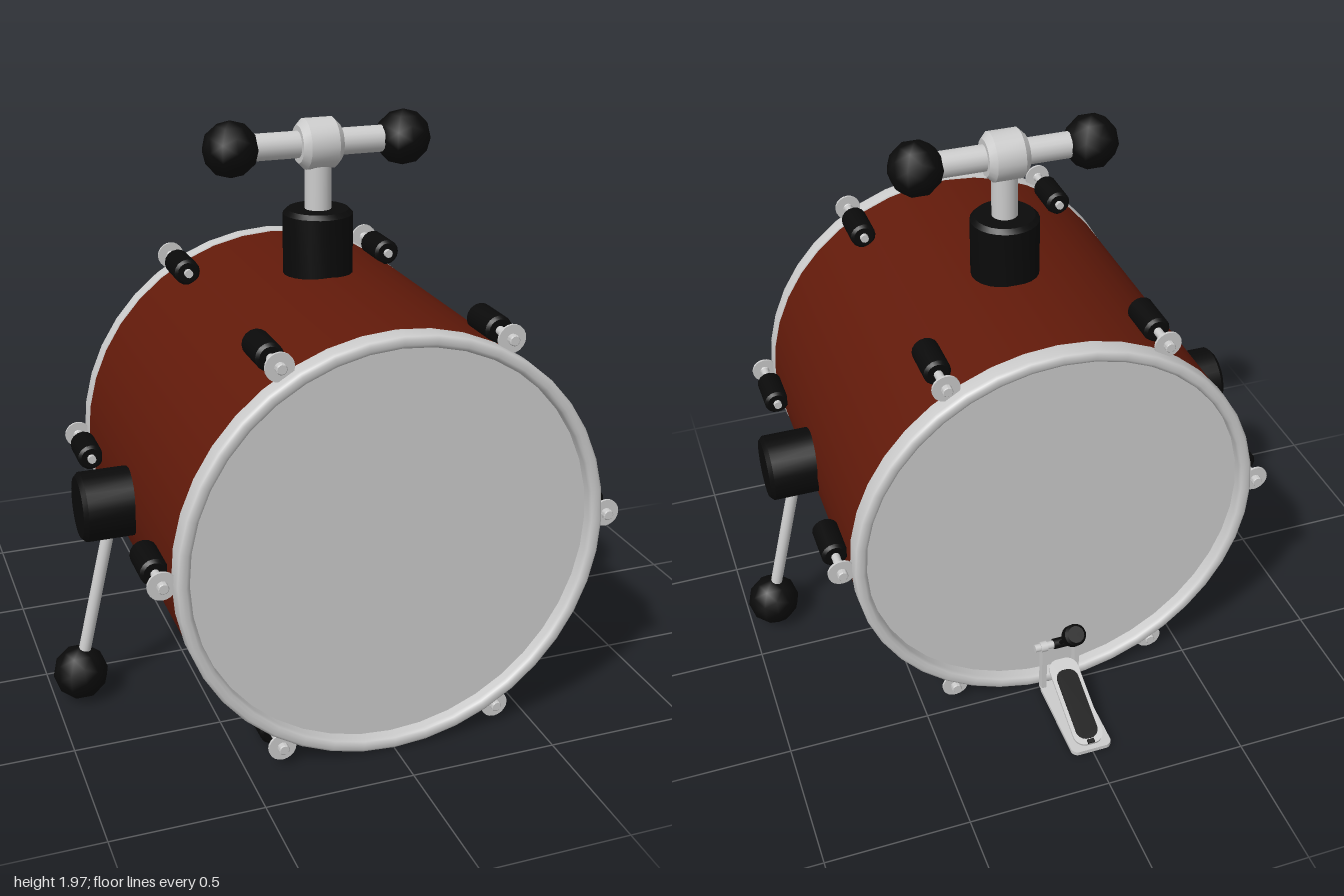
import * as THREE from 'three';
import { toCreasedNormals } from 'three/addons/utils/BufferGeometryUtils.js';

const grey = new THREE.MeshStandardMaterial({ color: 0xcccccc });
const black = new THREE.MeshStandardMaterial({ color: 0x0a0a0a });
const red = new THREE.MeshStandardMaterial({ color: 0x621a0a });
const V = (x, y, z) => new THREE.Vector3(x, y, z);
const UP = V(0, 1, 0);
const CY = 0.727; // height of the drum axis

function add(parent, name, geometry, material, x = 0, y = 0, z = 0) {
  const mesh = new THREE.Mesh(geometry, material);
  mesh.name = name;
  mesh.position.set(x, y, z);
  parent.add(mesh);
  return mesh;
}

const lathe = (points, segments) =>
  new THREE.LatheGeometry(points.map(p => new THREE.Vector2(...p)), segments);

// Cylinder with bevelled rims running between two points
function rod(parent, name, a, b, r, material, bevel = 0, segments = 20) {
  const h = a.distanceTo(b) / 2;
  const g = bevel
    ? toCreasedNormals(lathe([[0, -h], [r - bevel, -h], [r, bevel - h], [r, h - bevel],
      [r - bevel, h], [0, h]], segments), 0.6)
    : new THREE.CylinderGeometry(r, r, h * 2, segments);
  const mesh = add(parent, name, g, material);
  mesh.position.copy(a).add(b).multiplyScalar(0.5);
  mesh.quaternion.setFromUnitVectors(UP, b.clone().sub(a).normalize());
  return mesh;
}

// Faceted rubber ball
function ball(parent, name, x, y) {
  add(parent, name, new THREE.IcosahedronGeometry(0.095, 1), black, x, y, 0);
}

// Rounded rectangle slab lying in x/z, centred on the origin
function slab(w, d, t, r) {
  const x = w / 2, y = d / 2;
  const s = new THREE.Shape();
  s.moveTo(-x + r, -y).lineTo(x - r, -y);
  s.absarc(x - r, -y + r, r, -Math.PI / 2, 0);
  s.absarc(x - r, y - r, r, 0, Math.PI / 2);
  s.absarc(-x + r, y - r, r, Math.PI / 2, Math.PI);
  s.absarc(-x + r, -y + r, r, Math.PI, Math.PI * 1.5);
  const g = new THREE.ExtrudeGeometry(s, { depth: t, bevelEnabled: false, curveSegments: 6 });
  return g.translate(0, 0, -t / 2).rotateX(-Math.PI / 2);
}

function makeDrum() {
  const drum = new THREE.Group();
  drum.name = 'drum';
  const shell = new THREE.CylinderGeometry(0.717, 0.717, 1.24, 40, 1, true).rotateX(Math.PI / 2);
  add(drum, 'shell', shell, red, 0, CY, 0.177);

  // Rounded hoop profile, from its inner shell edge over the lip to the head
  const hoop = lathe([[0.70, 0], [0.717, 0.001], [0.722, 0.007], [0.722, 0.056], [0.718, 0.067],
    [0.709, 0.073], [0.692, 0.073], [0.682, 0.067], [0.677, 0.056], [0.677, 0]], 40);
  for (const [side, z] of [[1, 0.774], [-1, -0.421]]) {
    const end = side > 0 ? 'front' : 'back';
    add(drum, end + 'Hoop', hoop, grey, 0, CY, z).rotation.x = side * Math.PI / 2;
    const head = add(drum, end + 'Head', new THREE.CylinderGeometry(0.69, 0.69, 0.02, 40),
      grey, 0, CY, z + side * 0.017);
    head.rotation.x = Math.PI / 2;

    // Six lugs with tension rods and washers on each hoop
    for (let i = 0; i < 6; i++) {
      const a = i * Math.PI / 3;
      const lug = new THREE.Group();
      lug.name = end + 'Lug';
      lug.position.set(0.756 * Math.cos(a), CY + 0.756 * Math.sin(a), z);
      const at = d => V(0, 0, side * d);
      rod(lug, 'lugBody', at(-0.212), at(-0.056), 0.046, black, 0.01, 16);
      rod(lug, 'tensionRod', at(-0.228), at(0.05), 0.015, grey, 0, 12);
      rod(lug, 'washer', at(0.022), at(0.031), 0.047, grey, 0, 20);
      rod(lug, 'rodHead', at(0.018), at(0.052), 0.018, grey, 0.003, 12);
      drum.add(lug);
    }
  }
  return drum;
}

function makeTopMount() {
  const mount = new THREE.Group();
  mount.name = 'topMount';
  mount.position.z = 0.085;
  const y = 1.875;
  rod(mount, 'mountBase', V(0, 1.4, 0), V(0, 1.655, 0), 0.119, black, 0.015, 24);
  rod(mount, 'mountPost', V(0, 1.64, 0), V(0, y, 0), 0.045, grey);
  rod(mount, 'mountHub', V(-0.071, y, 0), V(0.071, y, 0), 0.085, grey, 0.022, 20);
  rod(mount, 'mountArm', V(-0.3, y, 0), V(0.3, y, 0), 0.045, grey);
  for (const s of [-1, 1]) ball(mount, 'armBall', s * 0.303, y);
  return mount;
}

function makeLeg(s) {
  const leg = new THREE.Group();
  leg.name = s > 0 ? 'leftLeg' : 'rightLeg';
  leg.position.z = 0.18;
  rod(leg, 'legBracket', V(s * 0.64, 0.728, 0), V(s * 0.885, 0.728, 0), 0.119, black, 0.015, 24);
  rod(leg, 'legRod', V(s * 0.768, 0.7, 0), V(s * 0.908, 0.11, 0), 0.021, grey, 0, 16);
  ball(leg, 'legFoot', s * 0.908, 0.103);
  return leg;
}

function makePedal() {
  const pedal = new THREE.Group();
  pedal.name = 'kickPedal';
  add(pedal, 'basePlate', slab(0.148, 0.355, 0.015, 0.025), grey, 0, 0.012, -0.673);

  // Sloping foot board with a black tread
  const board = new THREE.Group();
  board.name = 'footBoard';
  board.position.set(0, 0.083, -0.676);
  board.rotation.x = -Math.atan2(0.115, 0.32);
  add(board, 'boardPlate', slab(0.108, 0.335, 0.01, 0.04), grey);
  add(board, 'tread', slab(0.08, 0.27, 0.004, 0.035), black, 0, 0.006, -0.013);
  add(board, 'heelHinge', new THREE.BoxGeometry(0.025, 0.012, 0.014), black, 0, 0.006, -0.16);
  pedal.add(board);

  // Upright frame and axle
  const z = -0.508;
  for (const s of [-1, 1]) {
    add(pedal, 'upright', new THREE.BoxGeometry(0.018, 0.21, 0.03), grey, s * 0.062, 0.11, z);
    rod(pedal, 'axleBearing', V(s * 0.05, 0.215, z), V(s * 0.074, 0.215, z), 0.019, grey);
  }
  rod(pedal, 'axle', V(-0.095, 0.215, z), V(0.095, 0.215, z), 0.014, grey);
  rod(pedal, 'axleHub', V(-0.024, 0.215, z), V(0.024, 0.215, z), 0.019, black);

  // Beater swung back from the head
  rod(pedal, 'beaterRod', V(0, 0.212, z), V(0, 0.36, -0.63), 0.007, black, 0, 10);
  rod(pedal, 'beaterHead', V(0, 0.346, -0.617), V(0, 0.397, -0.662), 0.038, black, 0.009, 16);
  return pedal;
}

export function createModel() {
  const model = new THREE.Group();
  model.name = 'bassDrum';
  model.add(makeDrum(), makeTopMount(), makeLeg(1), makeLeg(-1), makePedal());
  return model;
}
